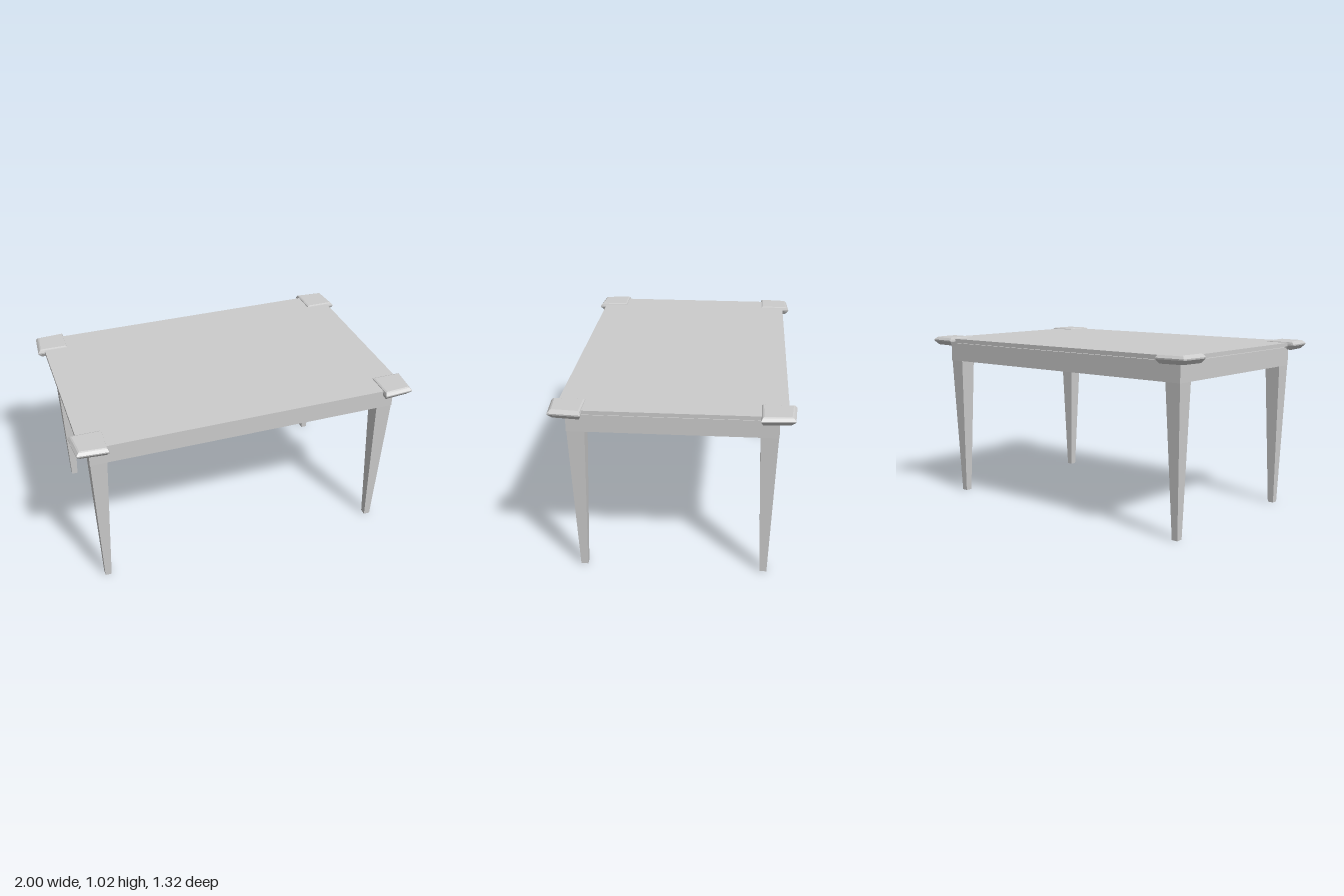
import * as THREE from 'three';

const material = new THREE.MeshStandardMaterial({ color: 0xcccccc, flatShading: true });

function addMesh(parent, name, geometry) {
  const mesh = new THREE.Mesh(geometry, material);
  mesh.name = name;
  parent.add(mesh);
  return mesh;
}

// Closed solid through four-cornered rings, listed from bottom to top.
function loft(rings) {
  const pos = [];
  const quad = (a, b, c, d) => pos.push(...a, ...b, ...c, ...a, ...c, ...d);
  for (let r = 0; r < rings.length - 1; r++) {
    const lo = rings[r], hi = rings[r + 1];
    for (let i = 0; i < 4; i++) {
      const j = (i + 1) % 4;
      quad(lo[i], lo[j], hi[j], hi[i]);
    }
  }
  const [a, b, c, d] = rings[0];
  quad(d, c, b, a);
  quad(...rings[rings.length - 1]);
  const g = new THREE.BufferGeometry();
  g.setAttribute('position', new THREE.Float32BufferAttribute(pos, 3));
  g.computeVertexNormals();
  return g;
}

// Mirrors a ring of [x, z] corners into a table corner, keeping faces outward.
function cornerRing(points, y, sx, sz) {
  const ring = points.map(([x, z]) => [x * sx, y, z * sz]);
  return sx * sz > 0 ? ring : ring.reverse();
}

const square = (x0, x1, z0, z1) => [[x0, z0], [x0, z1], [x1, z1], [x1, z0]];

function rectangle(path, x, z) {
  path.moveTo(-x, -z);
  path.lineTo(x, -z);
  path.lineTo(x, z);
  path.lineTo(-x, z);
  path.closePath();
  return path;
}

export function createModel() {
  const table = new THREE.Group();
  table.name = 'table';

  // Layered top: main board, recessed groove and lower moulding
  const top = new THREE.Group();
  top.name = 'tableTop';
  table.add(top);
  for (const [name, y0, y1, inset] of [
    ['lowerMoulding', 0.972, 0.984, 0.008],
    ['edgeGroove', 0.984, 0.99, 0.025],
    ['board', 0.99, 1.012, 0],
  ]) {
    const box = new THREE.BoxGeometry(1.916 - 2 * inset, y1 - y0, 1.232 - 2 * inset);
    addMesh(top, name, box).position.y = (y0 + y1) / 2;
  }

  // Apron frame, flush with the legs
  const frame = rectangle(new THREE.Shape(), 0.91, 0.568);
  frame.holes.push(rectangle(new THREE.Path(), 0.813, 0.468));
  const apron = new THREE.ExtrudeGeometry(frame, { depth: 0.107, bevelEnabled: false });
  apron.rotateX(-Math.PI / 2).translate(0, 0.866, 0);
  addMesh(table, 'apron', apron);

  for (const sx of [-1, 1]) for (const sz of [-1, 1]) {
    // Tapered square leg
    addMesh(table, 'leg', loft([
      cornerRing(square(0.843, 0.88, 0.494, 0.534), 0, sx, sz),
      cornerRing(square(0.813, 0.908, 0.468, 0.566), 0.866, sx, sz),
    ]));

    // Skewed corner cap with bevelled edges: [height, outer inset, inner inset]
    const capRings = [
      [0.97, 0.022, 0.012],
      [0.994, 0.001, 0],
      [1.002, 0, 0],
      [1.016, 0.012, 0.005],
      [1.02, 0.02, 0.014],
    ].map(([y, o, i]) => cornerRing([
      [0.813 + i, 0.468 + i],
      [0.813 + i, 0.658 - o],
      [0.986 - o, 0.646 - o],
      [1 - o, 0.468 + i],
    ], y, sx, sz));
    addMesh(table, 'cornerCap', loft(capRings));
  }
  return table;
}
